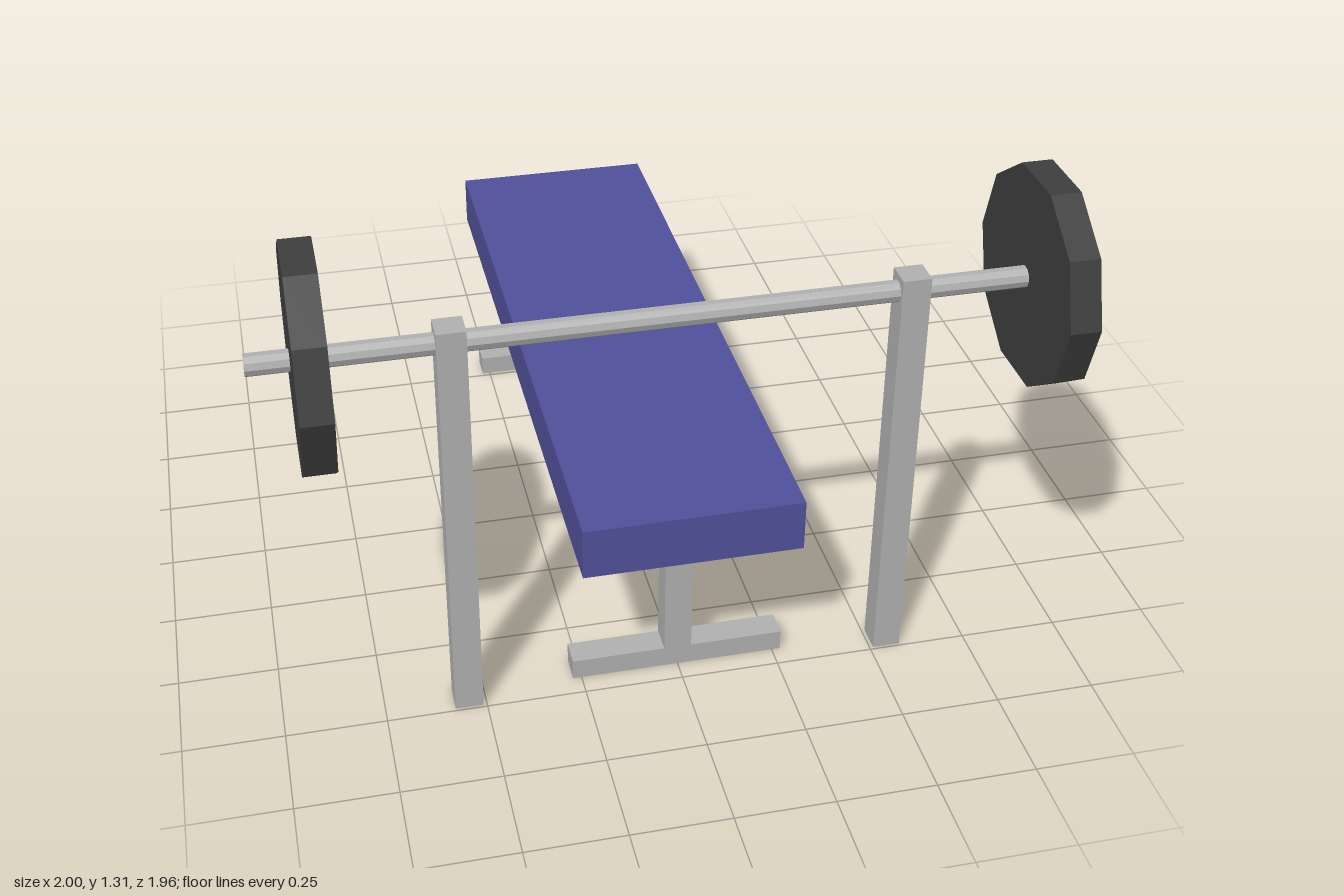
import * as THREE from 'three';

export function createModel() {
  const model = new THREE.Group();
  model.name = 'weightBench';

  const makeMaterial = (name, color) => {
    const m = new THREE.MeshStandardMaterial({ color, flatShading: true });
    m.name = name;
    return m;
  };
  const steel = makeMaterial('greySteel', 0xb2b2b2);
  const iron = makeMaterial('darkIron', 0x3e3e3e);
  const vinyl = makeMaterial('blueVinyl', 0x51519c);

  const add = (name, geometry, material, x, y, z) => {
    const mesh = new THREE.Mesh(geometry, material);
    mesh.name = name;
    mesh.position.set(x, y, z);
    model.add(mesh);
  };
  const box = (name, material, w, h, d, x, bottom, z) =>
    add(name, new THREE.BoxGeometry(w, h, d), material, x, bottom + h / 2, z);
  // Ten-sided cylinder lying along x
  const rod = (name, material, radius, length, x, y, z) =>
    add(name, new THREE.CylinderGeometry(radius, radius, length, 10).rotateZ(Math.PI / 2), material, x, y, z);

  const padBottom = 0.435, footHeight = 0.055, tube = 0.07;
  const barY = 1.05, barZ = 0.708;

  // Padded bench
  box('benchPad', vinyl, 0.544, 0.135, 1.82, 0, padBottom, -0.07);

  // T-shaped bench supports
  for (const [end, z] of [['front', 0.66], ['back', -0.796]]) {
    box(end + 'Leg', steel, tube, padBottom - footHeight, tube, 0, footHeight, z);
    box(end + 'Foot', steel, 0.544, footHeight, tube, 0, 0, z);
  }

  // Rack uprights and weight plates
  for (const [side, s] of [['left', 1], ['right', -1]]) {
    box(side + 'Upright', steel, tube, 1.093, tube, s * 0.544, 0, barZ);
    rod(side + 'WeightPlate', iron, 0.272, 0.075, s * 0.862, barY, barZ);
  }

  // Barbell
  rod('bar', steel, 0.027, 2, 0, barY, barZ);

  return model;
}
